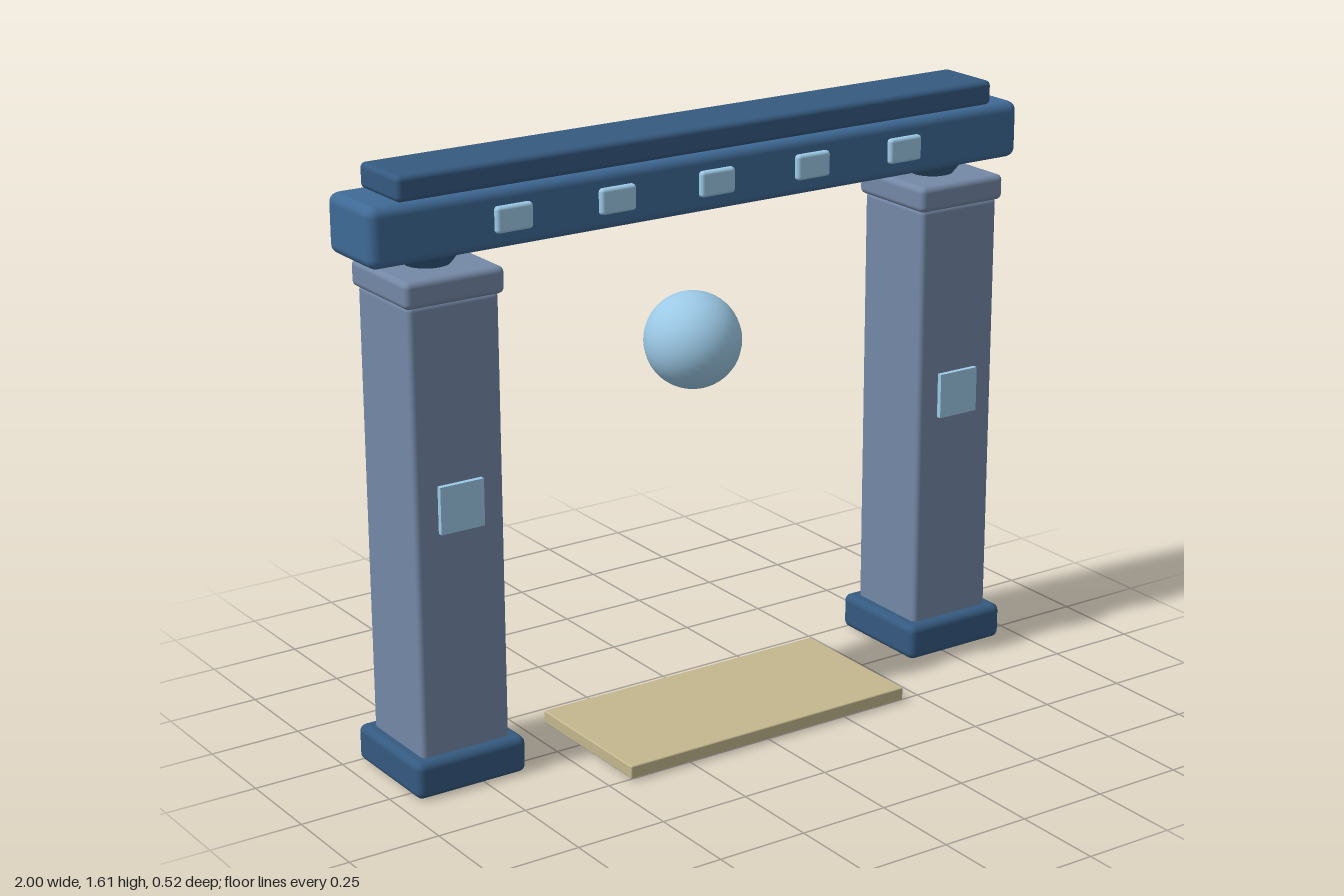
import * as THREE from 'three';
import { RoundedBoxGeometry } from 'three/addons/geometries/RoundedBoxGeometry.js';

const paint = (color) => new THREE.MeshStandardMaterial({ color });
const STONE = paint(0x7488a6);
const BLUE = paint(0x3f6a96);
const NAVY = paint(0x355a80);
const GLOW = paint(0x9cc9e6);
const SAND = paint(0xc4b78f);

const GATE_Z = -0.1; // depth of the gate's middle plane

function add(parent, name, geometry, material, x, y, z) {
  const mesh = new THREE.Mesh(geometry, material);
  mesh.name = name;
  mesh.position.set(x, y, z);
  parent.add(mesh);
  return mesh;
}

// Box with softened edges, placed by its bottom
function softBox(parent, name, [w, h, d], radius, material, x, bottom, z) {
  return add(parent, name, new RoundedBoxGeometry(w, h, d, 3, radius), material, x, bottom + h / 2, z);
}

function createPillar(side) {
  const pillar = new THREE.Group();
  pillar.name = side > 0 ? 'leftPillar' : 'rightPillar';
  pillar.position.set(side * 0.787, 0, GATE_Z);
  softBox(pillar, 'base', [0.32, 0.1, 0.32], 0.02, NAVY, 0, 0, 0);
  softBox(pillar, 'shaft', [0.256, 1.29, 0.256], 0.014, STONE, 0, 0, 0);
  softBox(pillar, 'capital', [0.28, 0.07, 0.28], 0.016, STONE, 0, 1.285, 0);
  // Flared neck carrying the beam
  add(pillar, 'neck', new THREE.CylinderGeometry(0.09, 0.055, 0.045, 24), NAVY, 0, 1.373, 0);
  // Glowing plaque on the front
  add(pillar, 'plaque', new THREE.BoxGeometry(0.125, 0.125, 0.03), GLOW, 0, 0.758, 0.127);
  return pillar;
}

export function createModel() {
  const model = new THREE.Group();
  model.name = 'gate';

  for (const side of [-1, 1]) model.add(createPillar(side));

  // Lintel and its cover slab
  softBox(model, 'beam', [2, 0.155, 0.22], 0.026, BLUE, 0, 1.387, GATE_Z - 0.003);
  softBox(model, 'topSlab', [1.83, 0.066, 0.19], 0.014, NAVY, 0, 1.541, GATE_Z - 0.002);

  // Row of studs on both faces of the beam
  for (const face of [-1, 1]) {
    for (let i = -2; i <= 2; i++) {
      softBox(model, 'stud', [0.105, 0.068, 0.03], 0.009, GLOW, i * 0.302, 1.431, GATE_Z + face * 0.107);
    }
  }

  // Floating orb and the doorstep
  add(model, 'orb', new THREE.SphereGeometry(0.13, 32, 24), GLOW, 0, 1.015, GATE_Z);
  softBox(model, 'doorstep', [0.88, 0.035, 0.425], 0.004, SAND, 0, 0.007, 0.05);

  return model;
}
